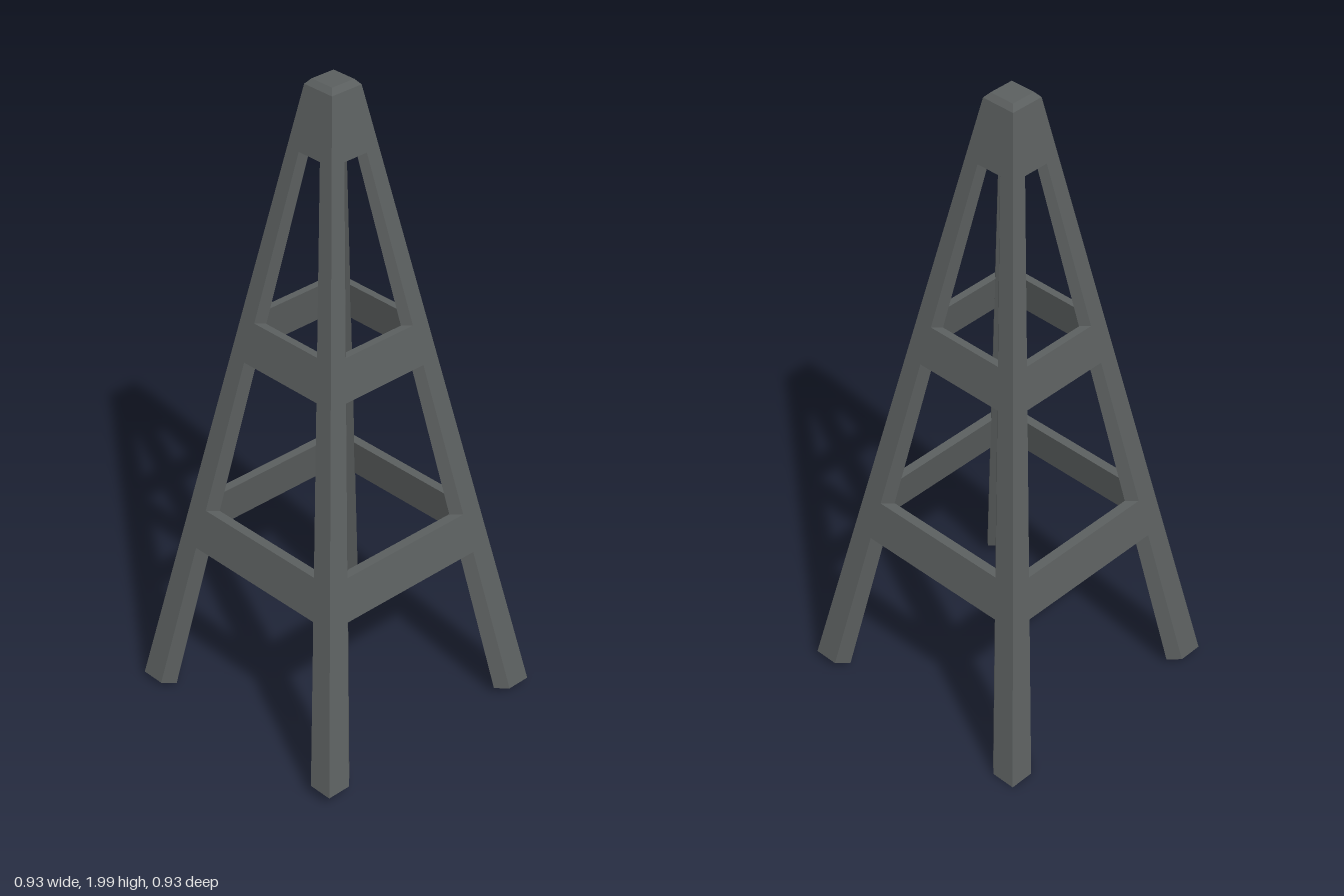
import * as THREE from 'three';

const FULL = 1.976;      // total height along the tower axis
const SHOULDER = 1.96;   // where the cap bevel starts
const HEAD = 1.775;      // underside of the solid head

// Half width of the tower, and leg face width, at height h
const half = h => THREE.MathUtils.lerp(0.409, 0.054, h / SHOULDER);
const legWidth = h => THREE.MathUtils.lerp(0.077, 0.046, h / HEAD);

// Convex rings {h, pts: [x, z]} (counterclockwise from above) joined into a closed solid
function loft(rings) {
  const n = rings[0].pts.length;
  const pos = [];
  const index = [];
  for (const { h, pts } of rings) for (const [x, z] of pts) pos.push(x, h, z);
  for (let r = 0; r < rings.length - 1; r++) {
    for (let i = 0; i < n; i++) {
      const j = (i + 1) % n;
      const a = r * n + i, b = r * n + j;
      index.push(a, b, b + n, a, b + n, a + n);
    }
  }
  const top = (rings.length - 1) * n;
  for (let i = 1; i < n - 1; i++) {
    index.push(0, i + 1, i);
    index.push(top, top + i, top + i + 1);
  }
  const geo = new THREE.BufferGeometry();
  geo.setAttribute('position', new THREE.Float32BufferAttribute(pos, 3));
  geo.setIndex(index);
  const flat = geo.toNonIndexed();
  flat.computeVertexNormals();
  return flat;
}

// Five-sided leg section: outer corner, two face strips, diagonal sides, inner flat
function legRing(h) {
  const s = half(h), w = legWidth(h), d = w * 0.43;
  return { h, pts: [[s, s], [s, s - w], [s - d, s - w - d], [s - w - d, s - d], [s - w, s]] };
}

// Brace section, flush with the outer face and mitred against the legs
function braceRing(h, t) {
  const s = half(h), e = s - legWidth(h);
  return { h, pts: [[-e, s], [e, s], [e - t, s - t], [t - e, s - t]] };
}

function squareRing(h, s) {
  return { h, pts: [[-s, s], [s, s], [s, -s], [-s, -s]] };
}

export function createModel() {
  const metal = new THREE.MeshStandardMaterial({ color: 0x5b5f5f });
  metal.name = 'darkGreyMetal';

  const tower = new THREE.Group();
  tower.name = 'tower';
  const add = (name, geo, turn = 0) => {
    const mesh = new THREE.Mesh(geo, metal);
    mesh.name = name;
    mesh.rotation.y = turn;
    tower.add(mesh);
  };

  // Four legs and two levels of braces
  const leg = loft([legRing(0), legRing(HEAD)]);
  const lowerBrace = loft([braceRing(0.492, 0.029), braceRing(0.622, 0.029)]);
  const upperBrace = loft([braceRing(1.12, 0.023), braceRing(1.246, 0.023)]);
  for (let i = 0; i < 4; i++) {
    const turn = i * Math.PI / 2;
    add('leg', leg, turn);
    add('lowerBrace', lowerBrace, turn);
    add('upperBrace', upperBrace, turn);
  }

  // Solid head with bevelled cap
  add('head', loft([
    squareRing(HEAD, half(HEAD)),
    squareRing(SHOULDER, half(SHOULDER)),
    squareRing(FULL, 0.04),
  ]));

  // The tower is turned slightly and leans towards the back right
  const lean = new THREE.Vector3(-0.0225, 1, -0.0225).normalize();
  tower.quaternion.setFromUnitVectors(new THREE.Vector3(0, 1, 0), lean);
  tower.rotateY(-0.148);
  tower.position.y = 0.0225;

  const model = new THREE.Group();
  model.name = 'latticeTower';
  model.add(tower);
  return model;
}
